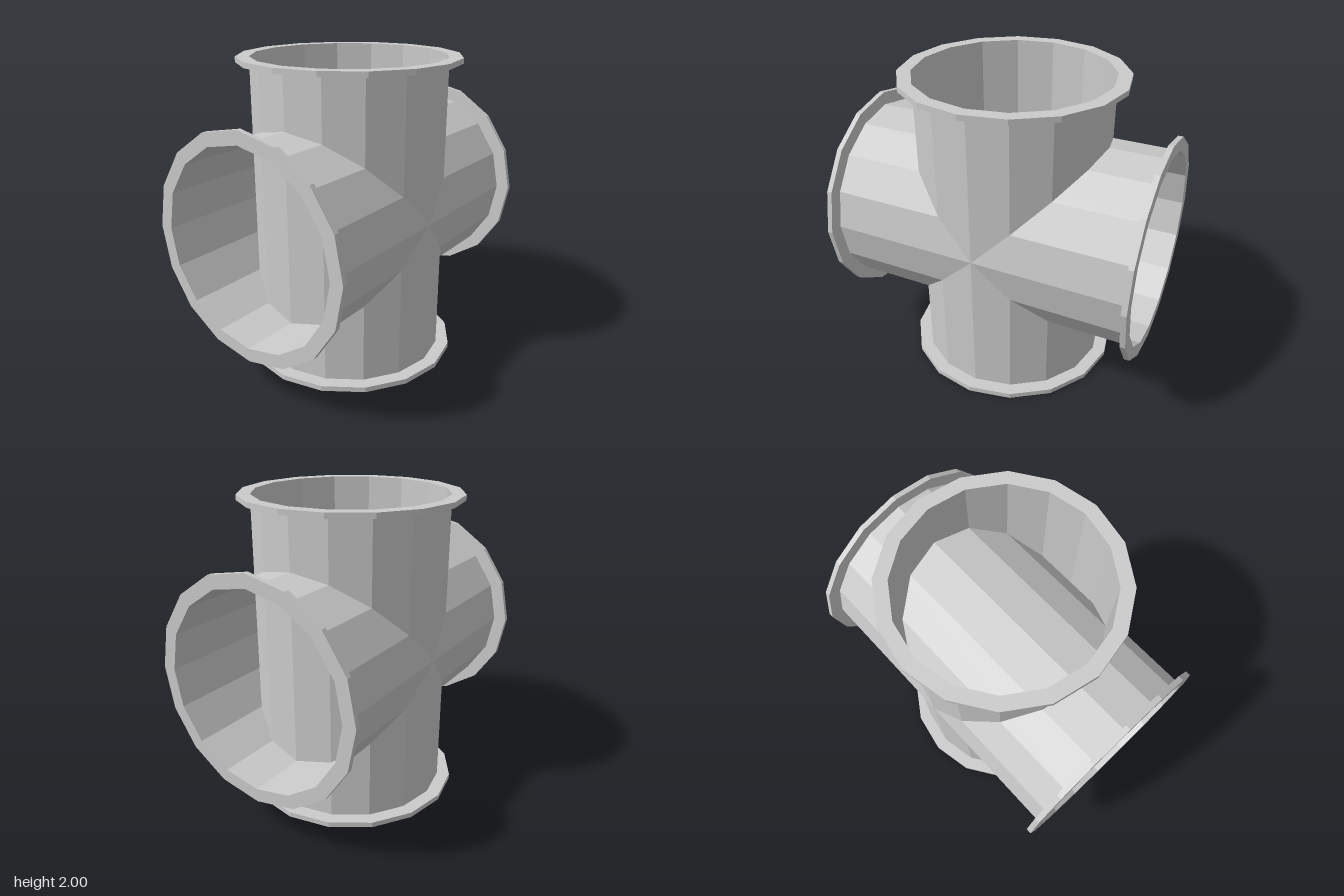
import * as THREE from 'three';

const SIDES = 16;
const LENGTH = 2;
const PIPE_R = 0.624;
const FLANGE_R = 0.71;
const FLANGE_T = 0.034;

const material = new THREE.MeshStandardMaterial({
  color: 0xcccccc, flatShading: true, side: THREE.DoubleSide,
});

// Thin-walled open pipe along y with a flat flange ring at each end
function makePipe(name) {
  const pipe = new THREE.Group();
  pipe.name = name;

  const wall = new THREE.Mesh(
    new THREE.CylinderGeometry(PIPE_R, PIPE_R, LENGTH, SIDES, 1, true), material);
  wall.name = 'pipeWall';
  pipe.add(wall);

  // Flange section; the pipe wall itself closes its inner edge
  const section = [
    [PIPE_R, -FLANGE_T / 2], [FLANGE_R, -FLANGE_T / 2],
    [FLANGE_R, FLANGE_T / 2], [PIPE_R, FLANGE_T / 2],
  ].map(([r, y]) => new THREE.Vector2(r, y));
  const flangeGeometry = new THREE.LatheGeometry(section, SIDES);

  for (const end of [-1, 1]) {
    const flange = new THREE.Mesh(flangeGeometry, material);
    flange.name = 'flange';
    flange.position.y = end * (LENGTH - FLANGE_T) / 2;
    pipe.add(flange);
  }
  return pipe;
}

export function createModel() {
  const model = new THREE.Group();
  model.name = 'crossPipeFitting';

  // Two equal pipes crossing at the centre
  const vertical = makePipe('verticalPipe');
  const horizontal = makePipe('horizontalPipe');
  horizontal.rotation.z = Math.PI / 2;
  for (const pipe of [vertical, horizontal]) {
    pipe.position.y = LENGTH / 2;
    model.add(pipe);
  }
  return model;
}
